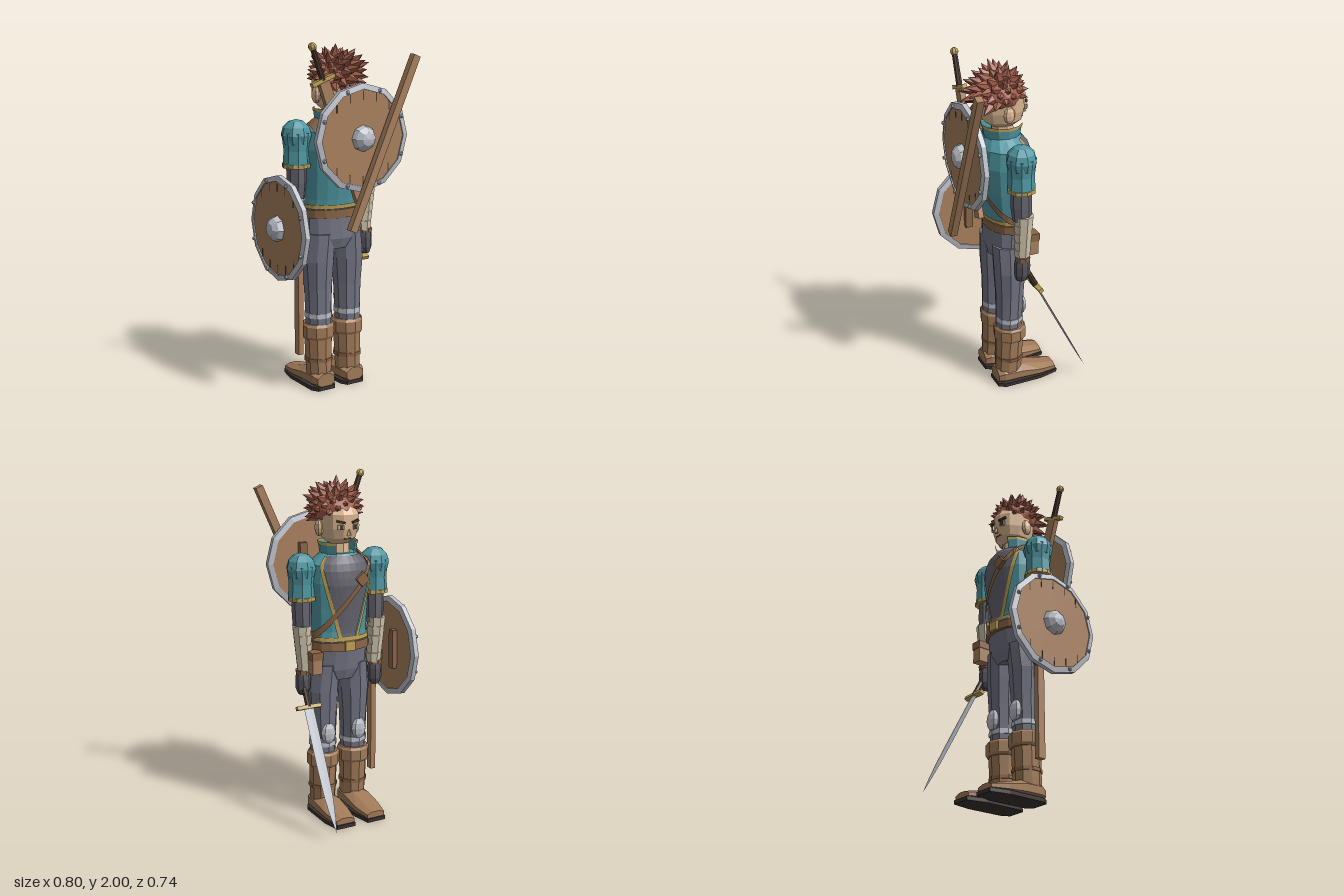
import * as THREE from 'three';

const C = { teal: 0x4f97a2, wood: 0xa87f5d, boot: 0xa17a58, hair: 0xa5604d, skin: 0xdcb892, gold: 0xbfa055, pants: 0x727482,
  shirt: 0x65646e, glove: 0x56555e, wrap: 0xd2c7ae, steel: 0xbcc0c9, sole: 0x3a3230, strap: 0x8a6546, dark: 0x4a382b };
const mats = {};
const mat = c => mats[c] ??= new THREE.MeshStandardMaterial({ color: C[c], flatShading: true, side: THREE.DoubleSide });
const CX = 0.02, CZ = 0.06; // body axis

function add(parent, name, geo, color, x = 0, y = 0, z = 0) {
  const m = new THREE.Mesh(geo, mat(color));
  m.name = name;
  m.position.set(x, y, z);
  parent.add(m);
  return m;
}
function group(parent, name, x = 0, y = 0, z = 0) {
  const g = new THREE.Group();
  g.name = name;
  g.position.set(x, y, z);
  parent.add(g);
  return g;
}
const box = (w, h, d) => new THREE.BoxGeometry(w, h, d);
const cyl = (rt, rb, h, n = 8, open = false) => new THREE.CylinderGeometry(rt, rb, h, n, 1, open);

function build(pos, idx) {
  const g = new THREE.BufferGeometry();
  g.setAttribute('position', new THREE.Float32BufferAttribute(pos, 3));
  g.setIndex(idx);
  g.computeVertexNormals();
  return g;
}
// Solid through elliptical sections [y, centreX, centreZ, radiusX, radiusZ], lowest first
function loft(rows, n = 10) {
  const pos = [], idx = [], last = (rows.length - 1) * n;
  for (const [y, cx, cz, rx, rz] of rows)
    for (let j = 0; j < n; j++) {
      const t = (j + 0.5) / n * Math.PI * 2;
      pos.push(cx + rx * Math.cos(t), y, cz + rz * Math.sin(t));
    }
  const lo = rows[0], hi = rows.at(-1), b = rows.length * n;
  pos.push(lo[1], lo[0], lo[2], hi[1], hi[0], hi[2]);
  for (let j = 0; j < n; j++) {
    const k = (j + 1) % n;
    for (let i = 0; i < last; i += n) idx.push(i + j, i + n + j, i + k, i + k, i + n + j, i + n + k);
    idx.push(b, j, k, b + 1, last + k, last + j);
  }
  return build(pos, idx);
}
// Open sheet from a rule f(u, v) -> [x, y, z]
function sheet(n, m, f) {
  const pos = [], idx = [];
  for (let i = 0; i <= n; i++) for (let j = 0; j <= m; j++) pos.push(...f(i / n, j / m));
  for (let i = 0; i < n; i++) for (let j = 0; j < m; j++) {
    const a = i * (m + 1) + j, b = a + m + 1;
    idx.push(a, b, a + 1, a + 1, b, b + 1);
  }
  return build(pos, idx);
}

const TORSO = [[1.02, CX, 0.045, 0.172, 0.115], [1.12, CX, 0.055, 0.17, 0.118], [1.25, CX, 0.06, 0.178, 0.135],
  [1.4, CX, 0.06, 0.188, 0.152], [1.5, CX, 0.06, 0.18, 0.138], [1.56, CX, 0.065, 0.1, 0.095]];
// Point on the torso: angle 0 faces -z, positive towards +x
function onTorso(a, y, off) {
  let i = 0;
  while (i < TORSO.length - 2 && y > TORSO[i + 1][0]) i++;
  const p = TORSO[i], q = TORSO[i + 1], t = THREE.MathUtils.clamp((y - p[0]) / (q[0] - p[0]), 0, 1);
  const r = p.map((v, k) => v + (q[k] - v) * t);
  return [r[1] + (r[3] + off) * Math.sin(a), y, r[2] - (r[4] + off) * Math.cos(a)];
}

function torso(g) {
  add(g, 'jacket', loft(TORSO, 16), 'teal');
  const edge = y => 0.2 + 0.75 * (y - 1.06) / 0.49;
  const yAt = u => 1.07 + 0.48 * u;
  add(g, 'shirtFront', sheet(12, 8, (u, v) => onTorso(edge(yAt(u)) * (2 * v - 1), yAt(u), 0.006)), 'shirt');
  for (const s of [-1, 1])
    add(g, 'jacketTrim', sheet(12, 1, (u, v) => onTorso(s * (edge(yAt(u)) + 0.13 * v), yAt(u), 0.01)), 'gold');
  const around = (y, h, off) => sheet(24, 1, (u, v) => onTorso(u * Math.PI * 2, y + h * v, off));
  add(g, 'hemTrim', around(1.065, 0.025, 0.008), 'gold');
  add(g, 'belt', loft([[1.01, CX, 0.045, 0.182, 0.126], [1.06, CX, 0.047, 0.182, 0.126]], 16), 'strap');
  add(g, 'beltBuckle', box(0.06, 0.055, 0.02), 'gold', CX, 1.04, -0.082);
  add(g, 'chestStrap', sheet(32, 1, (u, v) => {
    const a = u * Math.PI * 2;
    return onTorso(a, 1.3 - 0.23 * Math.sin(a) + 0.045 * v, 0.016);
  }), 'strap');
  add(g, 'strapBuckle', box(0.06, 0.06, 0.02), 'strap', -0.05, 1.42, -0.1).rotation.z = -0.7;
  const pouch = group(g, 'pouch', 0.215, 0.95, -0.02);
  add(pouch, 'pouchBag', box(0.06, 0.12, 0.08), 'wood');
  add(pouch, 'pouchFlap', box(0.068, 0.045, 0.088), 'strap', 0, 0.045);
  // Upright collar, open towards the face
  const arc = (r1, r2, h) => new THREE.CylinderGeometry(r1, r2, h, 10, 1, true, Math.PI + 0.55, Math.PI * 2 - 1.1);
  add(g, 'collar', arc(0.112, 0.098, 0.09), 'teal', CX, 1.57, CZ + 0.005);
  add(g, 'collarTrim', arc(0.115, 0.114, 0.018), 'gold', CX, 1.615, CZ + 0.005);
  add(g, 'neck', cyl(0.06, 0.07, 0.14), 'skin', CX, 1.59, CZ);
}

function head(g) {
  add(g, 'face', loft([[1.615, 0, 0, 0.06, 0.07], [1.645, 0, 0, 0.095, 0.112], [1.7, 0, 0, 0.11, 0.128],
    [1.78, 0, 0, 0.115, 0.13], [1.85, 0, 0, 0.08, 0.09]], 12), 'skin', CX, 0, CZ);
  add(g, 'nose', new THREE.ConeGeometry(0.015, 0.04, 4), 'skin', CX, 1.685, -0.07);
  add(g, 'mouth', box(0.04, 0.006, 0.01), 'hair', CX, 1.648, -0.052);
  for (const s of [-1, 1]) {
    add(g, 'eye', box(0.036, 0.026, 0.012), 'wrap', CX + s * 0.045, 1.712, -0.059).rotation.y = s * -0.35;
    add(g, 'pupil', box(0.018, 0.024, 0.012), 'dark', CX + s * 0.043, 1.712, -0.063).rotation.y = s * -0.35;
    add(g, 'brow', box(0.05, 0.012, 0.014), 'dark', CX + s * 0.045, 1.742, -0.061).rotation.set(0, s * -0.35, s * 0.2);
    add(g, 'ear', new THREE.SphereGeometry(1, 8, 6), 'skin', CX + s * 0.115, 1.7, 0.07).scale.set(0.022, 0.048, 0.034);
  }
  // Hair: a cap bristling with swept spikes
  const hair = group(g, 'hair', 0.025, 1.805, 0.085);
  add(hair, 'hairCap', new THREE.IcosahedronGeometry(1, 1), 'hair').scale.set(0.135, 0.105, 0.14);
  let seed = 7;
  const rnd = () => (seed = (seed * 16807) % 2147483647) / 2147483647;
  const up = new THREE.Vector3(0, 1, 0);
  for (let i = 0; i < 76; i++) {
    const y = 1 - 1.55 * (i + 0.5) / 76, r = Math.sqrt(1 - y * y), a = i * 2.39996;
    const d = new THREE.Vector3(r * Math.cos(a), y, r * Math.sin(a));
    if (d.z < -0.2 && d.y < -0.12 || d.z < 0.35 && d.y < -0.3) continue;
    const from = d.clone().multiplyScalar(0.085);
    const to = d.clone().multiplyScalar(0.155 + 0.035 * rnd()).add(new THREE.Vector3(0, -0.005, 0.012 + 0.03 * Math.max(0, d.z)));
    const dir = to.clone().sub(from), len = dir.length();
    const m = add(hair, 'hairSpike', new THREE.ConeGeometry(0.043, len, 5), 'hair');
    m.position.copy(from).addScaledVector(dir, 0.5);
    m.quaternion.setFromUnitVectors(up, dir.normalize());
  }
}

function arm(g, s) {
  const a = group(g, s > 0 ? 'leftArm' : 'rightArm', CX + s * 0.235, 0, CZ - 0.005);
  add(a, 'shoulder', new THREE.SphereGeometry(0.087, 8, 6), 'teal', 0, 1.485);
  add(a, 'sleeve', loft([[1.31, 0, 0, 0.077, 0.077], [1.4, 0, 0, 0.07, 0.074], [1.5, 0, 0, 0.083, 0.083]], 8), 'teal');
  add(a, 'sleeveTrim', cyl(0.081, 0.081, 0.022), 'gold', 0, 1.315);
  add(a, 'elbow', loft([[1.13, 0, -0.005, 0.05, 0.054], [1.22, 0, 0, 0.055, 0.06], [1.32, 0, 0, 0.056, 0.06]], 8), 'shirt');
  for (let i = 0; i < 5; i++)
    add(a, 'armWrap', cyl(0.058 - (4 - i) * 0.002, 0.052 - (4 - i) * 0.002, 0.056), 'wrap', s * 0.004 * i - s * 0.01, 0.92 + i * 0.053, -0.012);
  add(a, 'glove', loft([[0.755, 0, -0.005, 0.026, 0.035], [0.79, 0, -0.008, 0.042, 0.046],
    [0.85, 0, -0.008, 0.044, 0.046], [0.9, 0, -0.008, 0.036, 0.038]], 8), 'glove');
  add(a, 'gloveCuff', cyl(0.046, 0.044, 0.025), 'strap', 0, 0.89, -0.01);
}

function leg(g, s) {
  const l = group(g, s > 0 ? 'leftLeg' : 'rightLeg', CX + s * 0.1, 0, CZ);
  add(l, 'trouserLeg', loft([[0.36, 0, 0.01, 0.074, 0.078], [0.48, 0, 0.008, 0.078, 0.08], [0.6, 0, 0.005, 0.083, 0.084],
    [0.76, 0, 0.005, 0.096, 0.094], [0.92, -s * 0.012, 0.002, 0.09, 0.102]]), 'pants');
  add(l, 'kneePad', new THREE.SphereGeometry(1, 8, 6), 'steel', 0, 0.51, -0.068).scale.set(0.048, 0.065, 0.028);
  add(l, 'shinBand', cyl(0.082, 0.082, 0.028, 10), 'steel', 0, 0.44, 0.006);
  add(l, 'bootShaft', loft([[0.05, 0, 0.015, 0.072, 0.08], [0.18, 0, 0.01, 0.078, 0.082], [0.34, 0, 0.005, 0.083, 0.085]]), 'boot');
  add(l, 'bootCuff', loft([[0.3, 0, 0.003, 0.088, 0.088], [0.315, 0, 0.003, 0.097, 0.096],
    [0.375, 0, 0.003, 0.097, 0.096], [0.39, 0, 0.003, 0.086, 0.086]]), 'boot');
  add(l, 'bootStrap', cyl(0.085, 0.085, 0.02, 10), 'strap', 0, 0.175, 0.01);
  // Foot lofted from heel to toe, on a dark sole
  const foot = add(l, 'foot', loft([[-0.095, 0, 0.055, 0.062, 0.045], [-0.06, 0, 0.062, 0.08, 0.06], [0.05, 0, 0.06, 0.084, 0.056],
    [0.17, 0, 0.045, 0.082, 0.038], [0.275, 0, 0.035, 0.062, 0.024]], 8), 'boot');
  foot.rotation.x = -Math.PI / 2;
  const o = new THREE.Shape([[-0.055, -0.1], [0.055, -0.1], [0.08, -0.06], [0.082, 0.17], [0.058, 0.285],
    [-0.058, 0.285], [-0.082, 0.17], [-0.08, -0.06]].map(p => new THREE.Vector2(...p)));
  add(l, 'sole', new THREE.ExtrudeGeometry(o, { depth: 0.022, bevelEnabled: false }), 'sole').rotation.x = -Math.PI / 2;
}

// Round shield facing local +z
function shield(g, name, x, y, z) {
  const s = group(g, name, x, y, z);
  add(s, 'shieldBoard', cyl(0.275, 0.275, 0.03, 12), 'wood').rotation.x = Math.PI / 2;
  const rim = [[0.268, -0.022], [0.3, -0.014], [0.3, 0.014], [0.268, 0.022], [0.268, -0.022]].map(p => new THREE.Vector2(...p));
  add(s, 'shieldRim', new THREE.LatheGeometry(rim, 12), 'steel').rotation.x = Math.PI / 2;
  const boss = add(s, 'shieldBoss', new THREE.SphereGeometry(0.075, 8, 3, 0, Math.PI * 2, 0, Math.PI / 2), 'steel', 0, 0, 0.013);
  boss.rotation.x = Math.PI / 2;
  boss.scale.y = 0.85;
  for (let i = 0; i < 8; i++) {
    const a = (i + 0.5) * Math.PI / 4;
    add(s, 'rivet', new THREE.SphereGeometry(0.012, 6, 4), 'steel', 0.275 * Math.cos(a), 0.275 * Math.sin(a), 0.022);
  }
  for (let i = -2; i <= 2; i++) for (const k of [-1, 1])
    add(s, 'plankGap', box(0.006, 0.05, 0.004), 'dark', i * 0.085, k * (Math.sqrt(0.07 - (i * 0.085) ** 2) - 0.03), 0.0145);
  for (const k of [-1, 1]) add(s, 'armGrip', box(0.045, 0.23, 0.03), 'strap', k * 0.085, 0, -0.03);
  return s;
}

// Hilt with its guard at the origin, blade direction +y
function hilt(g, name, x, y, z) {
  const s = group(g, name, x, y, z);
  add(s, 'guard', box(0.15, 0.022, 0.028), 'gold');
  add(s, 'grip', cyl(0.018, 0.016, 0.18), 'dark', 0, -0.09);
  add(s, 'pommel', new THREE.SphereGeometry(0.024, 8, 6), 'gold', 0, -0.19);
  return s;
}

export function createModel() {
  const g = new THREE.Group();
  g.name = 'swordsman';
  torso(g);
  head(g);
  add(g, 'hips', loft([[0.83, CX, 0.06, 0.1, 0.09], [0.89, CX, 0.06, 0.172, 0.108], [1.03, CX, 0.05, 0.168, 0.115]], 14), 'pants');
  for (const s of [-1, 1]) { arm(g, s); leg(g, s); }

  shield(g, 'backShield', 0.055, 1.475, 0.297);
  shield(g, 'armShield', -0.325, 0.97, 0.055).rotation.y = -Math.PI / 2;

  // Drawn sword, pointing down and forward
  const sword = hilt(g, 'drawnSword', 0.262, 0.7, -0.035);
  sword.rotation.x = -2.66;
  const blade = [[0.03, 0], [0.031, 0.35], [0.027, 0.52], [0.015, 0.64], [0, 0.725]].map(p => new THREE.Vector2(...p));
  add(sword, 'blade', new THREE.LatheGeometry(blade, 4), 'steel').scale.z = 0.18;

  // Sheathed sword slung across the back
  const slung = hilt(g, 'slungSword', -0.156, 1.794, 0.235);
  slung.rotation.z = -2.79;
  add(slung, 'slungScabbard', box(0.065, 0.72, 0.03), 'wood', 0, 0.37);

  // Long scabbard over the shield, and an empty one at the hip
  add(g, 'longScabbard', box(0.045, 1.03, 0.04), 'wood', 0.17, 1.443, 0.345).rotation.z = -0.416;
  add(g, 'hipScabbard', box(0.032, 0.6, 0.045), 'wood', -0.205, 0.515, 0.06);
  return g;
}
